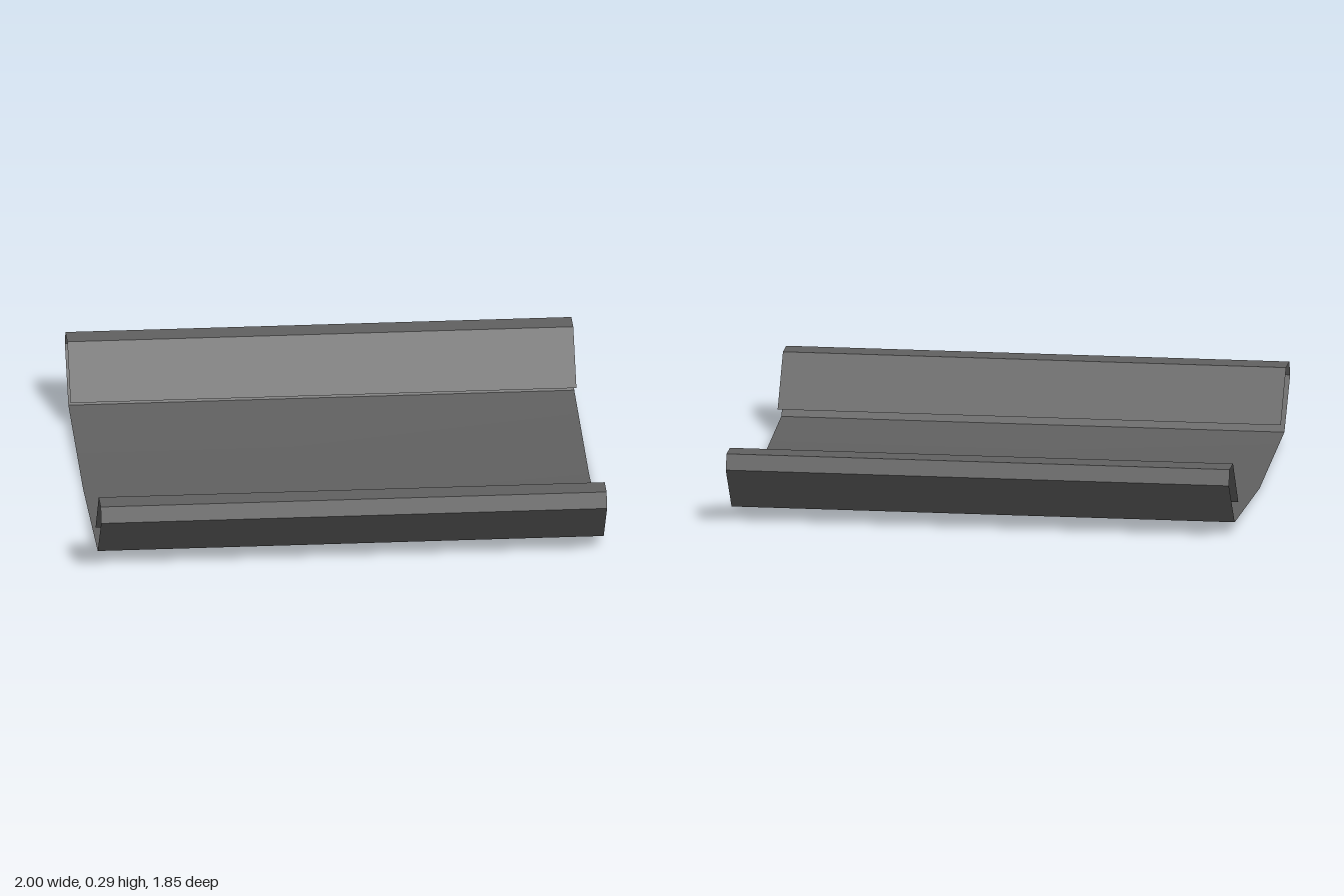
import * as THREE from 'three';

const HALF_LENGTH = 1;

const makeMaterial = (flatShading) =>
  new THREE.MeshStandardMaterial({ color: 0x606060, flatShading, side: THREE.DoubleSide });
const smoothMaterial = makeMaterial(false);
const foldedMaterial = makeMaterial(true);

// Sweeps an open [z, y] profile along x into a thin sheet with open ends.
function sheet(name, profile, material) {
  const positions = [];
  const indices = [];
  profile.forEach(([z, y], i) => {
    positions.push(-HALF_LENGTH, y, z, HALF_LENGTH, y, z);
    if (i > 0) {
      const a = 2 * (i - 1);
      indices.push(a, a + 1, a + 3, a, a + 3, a + 2);
    }
  });
  const geometry = new THREE.BufferGeometry();
  geometry.setAttribute('position', new THREE.Float32BufferAttribute(positions, 3));
  geometry.setIndex(indices);
  geometry.computeVertexNormals();
  const mesh = new THREE.Mesh(geometry, material);
  mesh.name = name;
  return mesh;
}

export function createModel() {
  const model = new THREE.Group();
  model.name = 'foldedPanel';

  // Shallow V-shaped floor with a softly shaded centre bend
  model.add(sheet('floor', [[0.75, 0.045], [0, 0], [-0.75, 0.045]], smoothMaterial));

  // Edge rail: flared wall, chamfer, flat top and lip folded back inwards
  const rail = [[0.75, 0.045], [0.925, 0.235], [0.9, 0.295], [0.8, 0.295], [0.64, 0.1]];
  model.add(sheet('frontRail', [...rail].reverse(), foldedMaterial));
  model.add(sheet('backRail', rail.map(([z, y]) => [-z, y]), foldedMaterial));

  return model;
}
